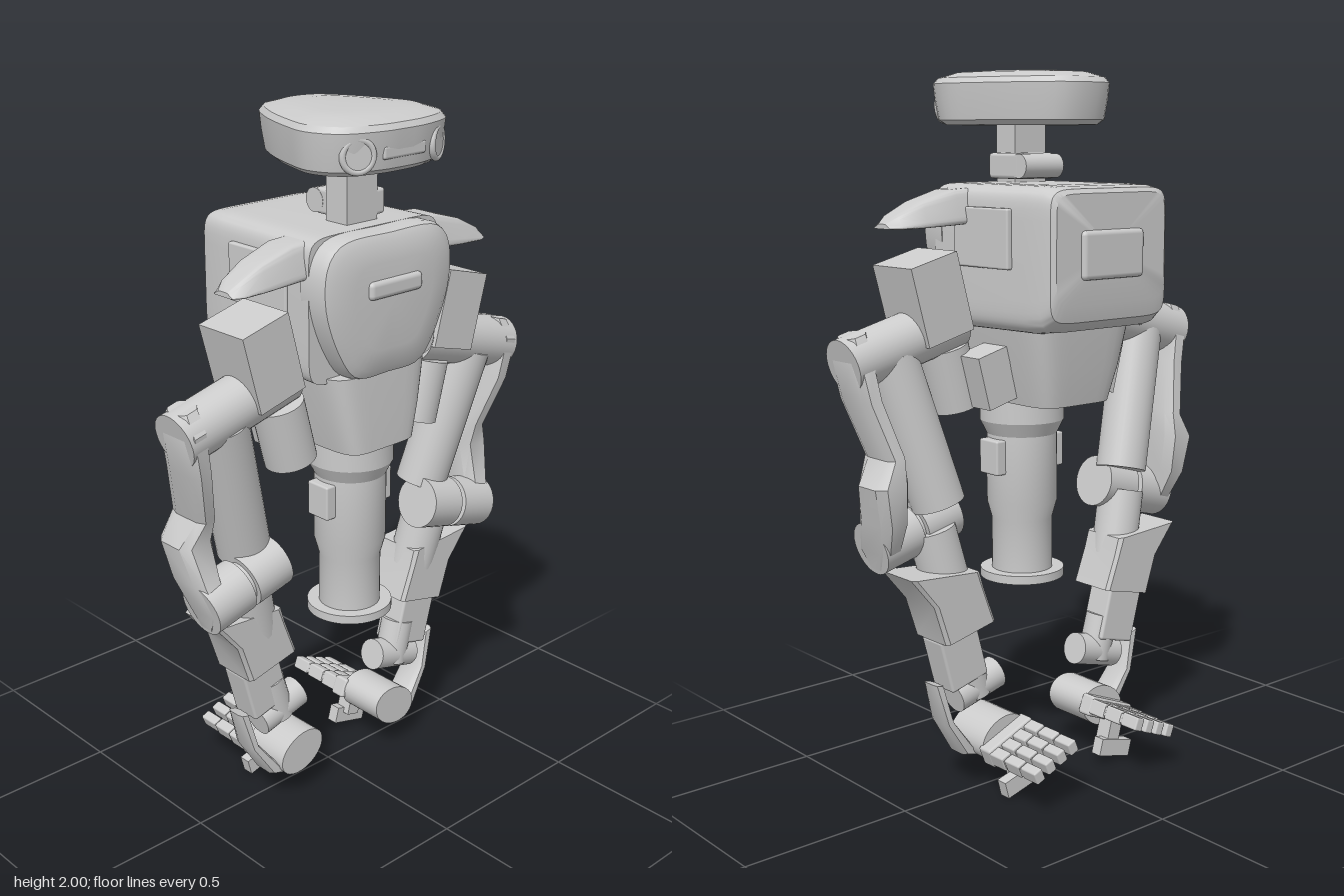
import * as THREE from 'three';
import { toCreasedNormals } from 'three/addons/utils/BufferGeometryUtils.js';
import { RoundedBoxGeometry } from 'three/addons/geometries/RoundedBoxGeometry.js';

const V = (x, y, z) => new THREE.Vector3(x, y, z);
const TILT = 0.26;

export function createModel() {
  const model = new THREE.Group();
  const mat = new THREE.MeshStandardMaterial({ color: 0xcccccc });

  function add(parent, name, geo) {
    const m = new THREE.Mesh(geo, mat);
    m.name = name;
    parent.add(m);
    return m;
  }

  // Closed skin through rings of equal point count, always wound outward
  function loft(rings, crease = 0.6) {
    const n = rings[0].length, pts = rings.flat(), idx = [];
    for (let r = 0; r < rings.length - 1; r++)
      for (let i = 0; i < n; i++) {
        const a = r * n + i, b = r * n + (i + 1) % n;
        idx.push(a, b, b + n, a, b + n, a + n);
      }
    [0, rings.length - 1].forEach((r, end) => {
      const c = V(0, 0, 0);
      rings[r].forEach(p => c.addScaledVector(p, 1 / n));
      const k = pts.push(c) - 1;
      for (let i = 0; i < n; i++) {
        const a = r * n + i, b = r * n + (i + 1) % n;
        if (end) idx.push(a, b, k); else idx.push(b, a, k);
      }
    });
    let vol = 0;
    const c = V(0, 0, 0);
    for (let i = 0; i < idx.length; i += 3)
      vol += pts[idx[i]].dot(c.crossVectors(pts[idx[i + 1]], pts[idx[i + 2]]));
    if (vol < 0) idx.reverse();
    const g = new THREE.BufferGeometry().setFromPoints(pts);
    g.setIndex(idx);
    return toCreasedNormals(g, crease);
  }

  // Rounded rectangle in 2D, mapped to space by put(u, v)
  function roundRect(u0, u1, v0, v1, put, power = 8, n = 48) {
    const f = t => Math.sign(t) * Math.abs(t) ** (2 / power);
    return Array.from({ length: n }, (_, i) => {
      const a = (i + 0.5) / n * Math.PI * 2;
      return put((u0 + u1) / 2 + f(Math.cos(a)) * (u1 - u0) / 2,
        (v0 + v1) / 2 + f(Math.sin(a)) * (v1 - v0) / 2);
    });
  }

  // Smooth outline from one half, mirrored across its first coordinate
  function outline(half, n = 56) {
    const inner = half.filter(p => p[0] > 0).reverse();
    const all = [...half, ...inner.map(p => [-p[0], p[1]])];
    return new THREE.CatmullRomCurve3(all.map(p => V(p[0], p[1], 0)), true, 'centripetal').getSpacedPoints(n).slice(0, n);
  }

  function rod(parent, name, a, b, r0, r1 = r0, sides = 32) {
    const m = add(parent, name, new THREE.CylinderGeometry(r1, r0, a.distanceTo(b), sides));
    m.position.copy(a).lerp(b, 0.5);
    m.quaternion.setFromUnitVectors(V(0, 1, 0), b.clone().sub(a).normalize());
    return m;
  }

  function box(parent, name, size, pos, rx = 0, r = 0) {
    const g = r ? new RoundedBoxGeometry(...size, 2, r) : new THREE.BoxGeometry(...size);
    const m = add(parent, name, g);
    m.position.copy(pos);
    m.rotation.x = rx;
    return m;
  }

  // Head: egg plan, narrow at the rear
  const head = new THREE.Group();
  head.name = 'head';
  model.add(head);
  const egg = outline([[0, -0.2], [0.08, -0.18], [0.15, -0.08], [0.205, 0.06], [0.225, 0.16], [0.185, 0.245], [0.08, 0.285], [0, 0.29]]);
  add(head, 'headShell', loft([[1.855, 0.86], [1.868, 0.94], [1.92, 0.98], [1.965, 1], [1.98, 0.95], [1.995, 0.75], [2, 0.5]]
    .map(([y, s]) => egg.map(p => V(0.08 + (p.y - 0.08) * s, y, p.x * s))), 0.45));
  for (const s of [1, -1]) {
    const eye = new THREE.Group();
    eye.name = 'eye';
    eye.position.set(0.258, 1.908, 0.14 * s);
    eye.rotation.y = Math.PI / 2 - 0.45 * s;
    head.add(eye);
    add(eye, 'eyeRim', new THREE.TorusGeometry(0.04, 0.009, 10, 32));
    add(eye, 'lens', new THREE.CylinderGeometry(0.036, 0.036, 0.012, 32)).rotation.x = Math.PI / 2;
  }
  box(head, 'sensorBar', [0.02, 0.035, 0.15], V(0.275, 1.91, 0), 0, 0.008);

  // Neck
  box(model, 'neck', [0.08, 0.2, 0.11], V(0.09, 1.78, 0));
  rod(model, 'neckMotor', V(0, 1.745, 0.05), V(0, 1.745, -0.085), 0.033);
  box(model, 'neckBracket', [0.13, 0.07, 0.135], V(0.065, 1.745, -0.018), 0, 0.01);

  // Torso
  const torso = new THREE.Group();
  torso.name = 'torso';
  model.add(torso);
  add(torso, 'torsoShell', loft([[-0.282, 1.39, 1.68, 0.195], [-0.272, 1.345, 1.692, 0.208], [-0.24, 1.318, 1.698, 0.215], [-0.18, 1.31, 1.7, 0.22], [0.18, 1.305, 1.7, 0.234]]
    .map(([x, y0, y1, z]) => roundRect(y0, y1, -z, z, (y, w) => V(x, y, w), 9))));
  const shield = outline([[0, 1.31], [0.12, 1.318], [0.18, 1.39], [0.232, 1.53], [0.225, 1.64], [0.18, 1.688], [0, 1.698]]);
  add(torso, 'chestPlate', loft([[0.15, 1], [0.215, 1], [0.235, 0.97], [0.247, 0.87], [0.255, 0.6]]
    .map(([x, s]) => shield.map(p => V(x, 1.51 + (p.y - 1.51) * s, p.x * s)))));
  box(torso, 'chestHandle', [0.03, 0.05, 0.19], V(0.252, 1.555, 0), 0, 0.014);
  box(torso, 'backPanel', [0.03, 0.13, 0.22], V(-0.28, 1.52, 0), 0, 0.014);
  add(torso, 'abdomen', loft([[1.1, -0.165, 0.235, 0.13], [1.2, -0.185, 0.235, 0.155], [1.32, -0.2, 0.23, 0.18]]
    .map(([y, x0, x1, z]) => roundRect(x0, x1, -z, z, (x, w) => V(x, y, w), 6))));

  // Waist column
  const profile = [[0, 0.565], [0.122, 0.565], [0.122, 0.59], [0.088, 0.59], [0.088, 0.74], [0.102, 0.79], [0.102, 0.99], [0.122, 1.03], [0.122, 1.11], [0, 1.11]];
  const column = add(model, 'waistColumn', toCreasedNormals(new THREE.LatheGeometry(profile.map(p => new THREE.Vector2(...p)), 40), 0.4));
  column.position.x = 0.09;

  // One side of the body: s = 1 for +z, -1 for -z
  function buildSide(s) {
    const P = (x, y, z) => V(x, y, z * s);
    const arm = new THREE.Group();
    arm.name = 'arm';
    model.add(arm);
    const tilt = TILT * s;

    // Chamfered strip; each station: inner z,y  outer z,y  x range
    const strip = (name, stations, c = 0.2) => add(arm, name, loft(stations.map(([za, ya, zb, yb, x0, x1]) =>
      [[0, c], [0, 1 - c], [c, 1], [1 - c, 1], [1, 1 - c], [1, c], [1 - c, 0], [c, 0]].map(([u, v]) =>
        P(x0 + (x1 - x0) * u, ya + (yb - ya) * v, za + (zb - za) * v)))));

    box(torso, 'sidePanel', [0.23, 0.16, 0.02], P(-0.02, 1.56, 0.228), 0, 0.006);
    box(model, 'columnCover', [0.08, 0.1, 0.04], P(0.09, 0.93, 0.105), 0, 0.006);

    // Shoulder wing, tapering outward
    add(arm, 'shoulderWing', loft([[0.18, 1.595, 1.69, 0.03, 0.175], [0.26, 1.59, 1.685, 0.028, 0.177], [0.36, 1.585, 1.655, 0.04, 0.175], [0.43, 1.583, 1.62, 0.055, 0.17], [0.458, 1.585, 1.598, 0.075, 0.155]]
      .map(([z, y0, y1, x0, x1]) => roundRect(y0, y1, 0, 1, (y, t) => {
        const inset = 0.025 * (y - y0) / (y1 - y0);
        return P(x0 + inset + (x1 - x0 - 2 * inset) * t, y, z);
      }, 7, 32))));

    // Shoulder
    box(arm, 'shoulderBlock', [0.175, 0.22, 0.155], P(0.088, 1.4, 0.345), tilt);
    box(arm, 'shoulderMount', [0.1, 0.15, 0.1], P(0, 1.18, 0.2), tilt);
    rod(arm, 'shoulderMotor', P(0.1, 1.26, 0.275), P(0.1, 1.09, 0.23), 0.072);
    rod(arm, 'shoulderBarrel', P(0.09, 1.235, 0.605), P(0.09, 1.33, 0.245), 0.075);

    // Upper arm with its outer cover
    rod(arm, 'upperArm', P(0.09, 1.25, 0.46), P(0.035, 0.84, 0.345), 0.075);
    strip('upperArmCover', [
      [0.55, 1.325, 0.605, 1.31, 0.05, 0.13], [0.55, 1.27, 0.61, 1.255, 0.02, 0.165],
      [0.53, 1.15, 0.585, 1.14, 0.01, 0.155], [0.49, 1.0, 0.54, 0.99, -0.03, 0.11],
      [0.48, 0.93, 0.585, 0.92, -0.04, 0.09], [0.48, 0.82, 0.56, 0.81, -0.03, 0.12],
      [0.48, 0.74, 0.535, 0.725, 0.01, 0.16], [0.465, 0.69, 0.52, 0.675, 0.05, 0.12]]);

    // Elbow
    rod(arm, 'elbowOuter', P(0.085, 0.735, 0.535), P(0.085, 0.768, 0.41), 0.076);
    rod(arm, 'elbowPin', P(0.085, 0.76, 0.45), P(0.085, 0.78, 0.37), 0.06);
    rod(arm, 'elbowInner', P(0.085, 0.773, 0.395), P(0.085, 0.803, 0.28), 0.076);

    // Forearm
    rod(arm, 'forearmTube', P(0.05, 0.77, 0.36), P(0.025, 0.5, 0.295), 0.068);
    strip('forearmShell', [[0.265, 0.65, 0.495, 0.665, -0.05, 0.1], [0.25, 0.6, 0.42, 0.575, -0.05, 0.1], [0.212, 0.5, 0.382, 0.46, -0.05, 0.1]], 0.06);

    // Wrist
    box(arm, 'wristBlock', [0.09, 0.16, 0.13], P(0.025, 0.4, 0.3), tilt, 0.008);
    rod(arm, 'wristLink', P(0.028, 0.4, 0.265), P(0.03, 0.27, 0.23), 0.048);
    rod(arm, 'wristJoint', P(0.03, 0.275, 0.305), P(0.03, 0.315, 0.155), 0.047);
    strip('wristStrap', [[0.355, 0.325, 0.39, 0.335, 0, 0.06], [0.33, 0.22, 0.355, 0.21, -0.01, 0.07], [0.265, 0.135, 0.29, 0.105, -0.01, 0.08], [0.2, 0.11, 0.2, 0.08, 0, 0.08]]);

    // Palm, an oval drum along x
    const palm = new THREE.Group();
    palm.name = 'hand';
    palm.position.copy(P(0, 0.15, 0.19));
    palm.rotation.x = tilt * 1.5;
    arm.add(palm);
    const drum = add(palm, 'palm', new THREE.CylinderGeometry(0.06, 0.06, 0.15, 32));
    drum.rotation.z = Math.PI / 2;
    drum.position.x = 0.02;
    drum.scale.z = 1.35;
    box(palm, 'knuckleBar', [0.05, 0.06, 0.17], V(-0.07, -0.005, 0), 0, 0.008);

    // Four fingers of three segments
    for (let f = 0; f < 4; f++)
      for (let j = 0; j < 3; j++) {
        const z = (-0.066 + f * 0.044) * s, w = 0.036 - j * 0.003;
        box(palm, 'fingerSegment', [0.062, w + 0.008, w], V(-0.115 - j * 0.067, -0.004, z), 0, 0.005);
        if (j) rod(palm, 'fingerJoint', V(-0.082 - j * 0.067, -0.004, z - 0.014), V(-0.082 - j * 0.067, -0.004, z + 0.014), 0.014, 0.014, 10);
      }

    // Thumb
    box(arm, 'thumbBase', [0.05, 0.07, 0.045], P(-0.095, 0.085, 0.18), tilt);
    box(arm, 'thumb', [0.035, 0.05, 0.12], P(-0.108, 0.04, 0.18), tilt);
  }
  [1, -1].forEach(buildSide);

  return model;
}
